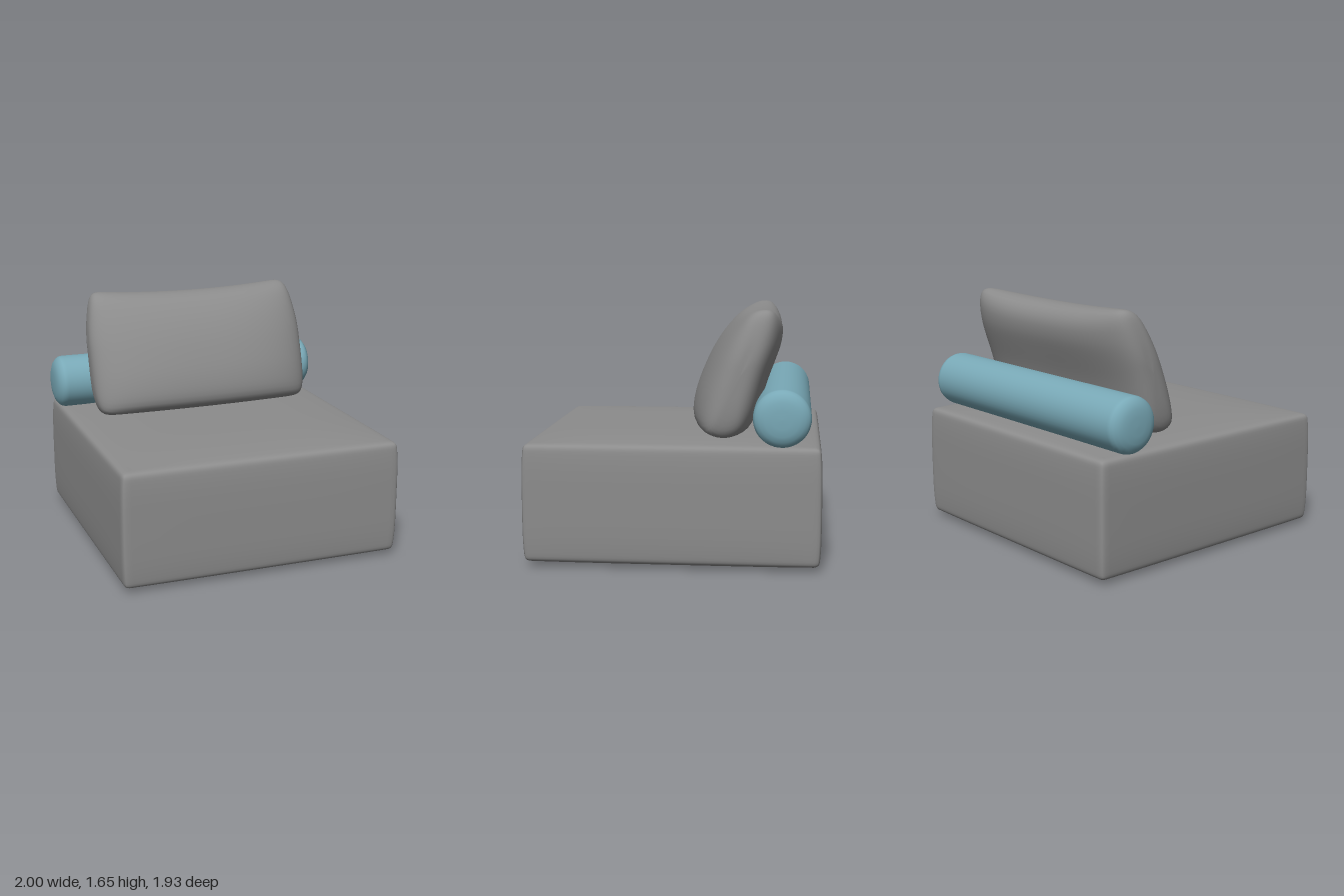
import * as THREE from 'three';
import { mergeVertices } from 'three/addons/utils/BufferGeometryUtils.js';

const upholstery = new THREE.MeshStandardMaterial({ color: 0x8c8c8c });
upholstery.name = 'grey upholstery';
const accent = new THREE.MeshStandardMaterial({ color: 0x79a9b7 });
accent.name = 'teal upholstery';

function addPart(group, name, geometry, material) {
  const mesh = new THREE.Mesh(geometry, material);
  mesh.name = name;
  group.add(mesh);
  return mesh;
}

// Stuffed block: a box with tight rounded edges whose faces swell outward
function stuffedBlock(half, radius, swell) {
  let g = new THREE.BoxGeometry(2, 2, 2, 28, 28, 28);
  g.deleteAttribute('uv');
  g.deleteAttribute('normal');
  g = mergeVertices(g);
  const pos = g.attributes.position;
  const p = new THREE.Vector3(), core = new THREE.Vector3();
  const inner = half.clone().subScalar(radius);
  // crowd the grid toward the edges so that the rounding is smooth
  const crowd = (u) => Math.sign(u) * (1 - Math.pow(1 - Math.abs(u), 2.2));
  for (let i = 0; i < pos.count; i++) {
    p.fromBufferAttribute(pos, i);
    p.set(crowd(p.x), crowd(p.y), crowd(p.z)).multiply(half);
    core.copy(p).clamp(inner.clone().negate(), inner);
    p.sub(core).setLength(radius).add(core);
    const x = p.x / half.x, y = p.y / half.y, z = p.z / half.z;
    const fall = (a, b) => (1 - a ** 4) * (1 - b ** 4);
    p.x += swell.x * x * fall(y, z * 0.7);
    p.y += swell.y * y * fall(x * x > 1 ? 1 : x, z * z > 1 ? 1 : z);
    p.z += swell.z * z * fall(y, x * 0.7);
    pos.setXYZ(i, p.x, p.y, p.z);
  }
  g.computeVertexNormals();
  return g;
}

// Back pillow: a leaning side profile lofted across x, thinning to the ends
function pillowGeometry() {
  const profile = [ // (z, y), up the front and down the back
    [-0.10, 0.89], [-0.08, 0.95], [-0.10, 1.09], [-0.19, 1.32], [-0.31, 1.53],
    [-0.41, 1.63], [-0.51, 1.66], [-0.63, 1.64], [-0.68, 1.57], [-0.68, 1.44],
    [-0.59, 1.17], [-0.51, 0.93], [-0.45, 0.85], [-0.33, 0.82], [-0.18, 0.845],
  ].map(([z, y]) => new THREE.Vector3(0, y, z));
  const curve = new THREE.CatmullRomCurve3(profile, true, 'centripetal');
  const around = 64, across = 64;
  const ring = curve.getSpacedPoints(around).slice(0, around);
  const centre = new THREE.Vector3(0, 1.24, -0.38);
  const up = new THREE.Vector3(0, 0.957, -0.29);
  const out = new THREE.Vector3(0, 0.29, 0.957);
  const verts = [], index = [], q = new THREE.Vector3();
  for (let i = 0; i <= across; i++) {
    const t = Math.sin((i / across - 0.5) * Math.PI), a = Math.abs(t);
    const tall = Math.pow(Math.max(0, 1 - a ** 30), 0.3);
    const thick = Math.pow(Math.max(0, 1 - a ** 3), 0.35);
    ring.forEach((p, j) => {
      q.copy(p).sub(centre);
      const v = q.dot(up), w = q.dot(out);
      q.copy(centre).addScaledVector(up, v * tall).addScaledVector(out, w * thick);
      const top = THREE.MathUtils.smoothstep(q.y, 1.3, 1.65);
      q.x = 0.01 + t * (0.81 - 0.025 * top);
      q.y -= 0.03 * (1 - t * t) * top;
      q.z -= 0.035 * t * t + 0.025 * q.x;
      verts.push(q.x, q.y, q.z);
      if (i < across) {
        const k = (j + 1) % around, r = i * around, s = r + around;
        index.push(r + j, s + j, s + k, r + j, s + k, r + k);
      }
    });
  }
  const g = new THREE.BufferGeometry();
  g.setAttribute('position', new THREE.Float32BufferAttribute(verts, 3));
  g.setIndex(index);
  g.computeVertexNormals();
  return g;
}

// Bolster: a long roll with softly domed ends
function bolsterGeometry() {
  const end = [[0, 1], [0.06, 0.999], [0.11, 0.993], [0.145, 0.98], [0.168, 0.962],
    [0.18, 0.945], [0.185, 0.92]];
  const points = [
    ...end.map(([r, x]) => new THREE.Vector2(r, -x)),
    ...end.slice().reverse().map(([r, x]) => new THREE.Vector2(r, x)),
  ];
  return new THREE.LatheGeometry(points, 48);
}

export function createModel() {
  const model = new THREE.Group();
  model.name = 'armlessSeat';

  const base = addPart(model, 'seatBase', stuffedBlock(
    new THREE.Vector3(0.95, 0.385, 0.95), 0.035,
    new THREE.Vector3(0.016, 0.0325, 0.016)), upholstery);
  base.position.y = 0.4175;

  const bolster = addPart(model, 'bolster', bolsterGeometry(), accent);
  bolster.rotation.z = -Math.PI / 2;
  bolster.position.set(0, 0.987, -0.705);

  addPart(model, 'backPillow', pillowGeometry(), upholstery);
  return model;
}
